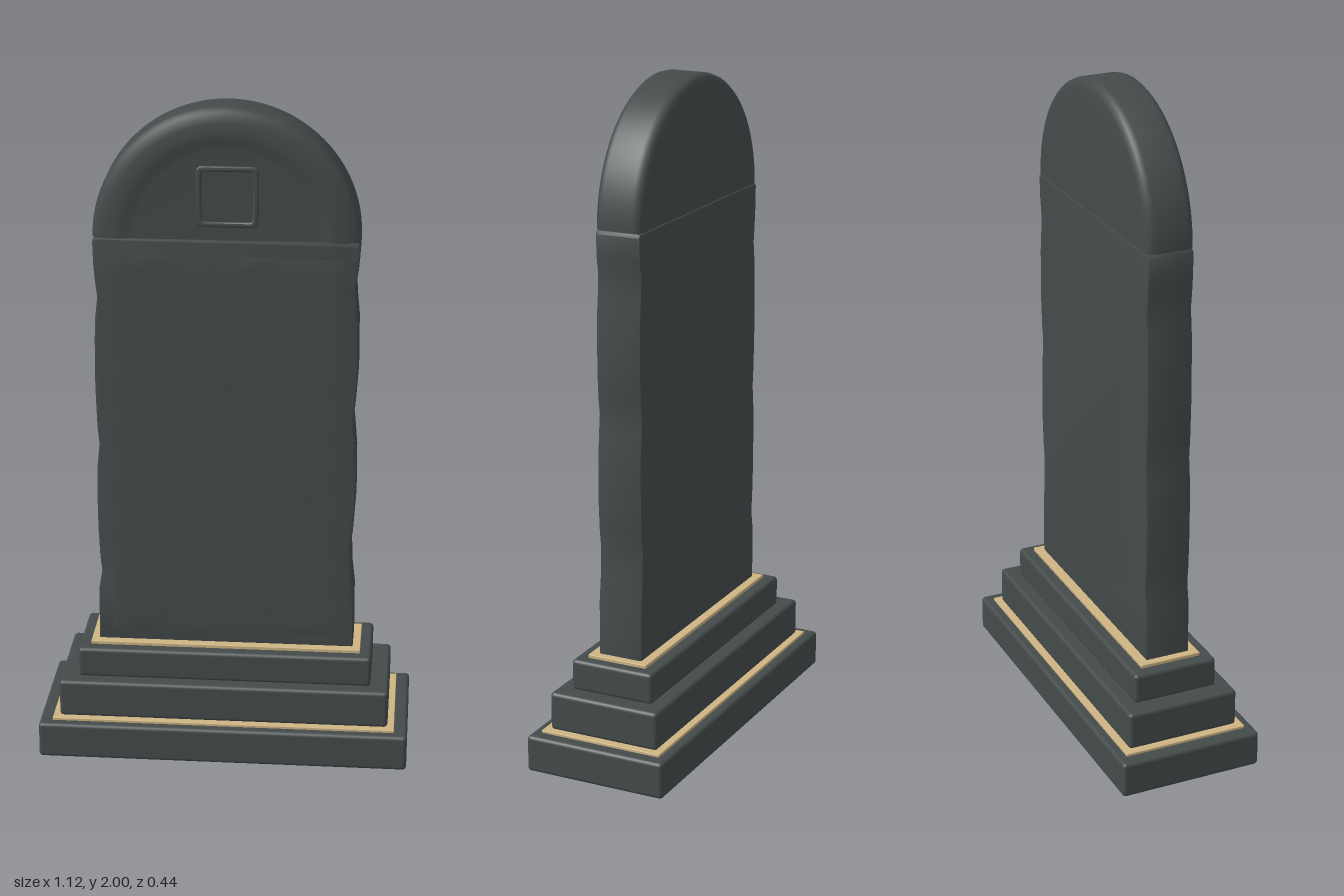
import * as THREE from 'three';
import { toCreasedNormals } from 'three/addons/utils/BufferGeometryUtils.js';
import { RoundedBoxGeometry } from 'three/addons/geometries/RoundedBoxGeometry.js';

export function createModel() {
  const model = new THREE.Group();
  model.name = 'memorialStone';
  const stone = new THREE.MeshStandardMaterial({ color: 0x444a4a });
  stone.name = 'dark stone';
  const gold = new THREE.MeshStandardMaterial({ color: 0xcdb483 });
  gold.name = 'pale gold';

  const add = (name, geometry, material = stone) => {
    const mesh = new THREE.Mesh(geometry, material);
    mesh.name = name;
    model.add(mesh);
    return mesh;
  };

  // Stepped plinth with gold inlay strips: half width, half depth, bottom, top
  const step = (name, hx, hz, y0, y1, material, radius = 0.012) => {
    const geometry = new RoundedBoxGeometry(hx * 2, y1 - y0, hz * 2, 3, radius);
    add(name, geometry, material).position.y = (y0 + y1) / 2;
  };
  step('lowerStep', 0.56, 0.222, 0, 0.112, stone);
  step('lowerTrim', 0.52, 0.193, 0.105, 0.12, gold, 0.002);
  step('middleStep', 0.5, 0.175, 0.118, 0.235, stone);
  step('upperStep', 0.445, 0.132, 0.232, 0.327, stone);
  step('upperTrim', 0.41, 0.095, 0.32, 0.337, gold, 0.002);

  // Slab outline with worn notches down both sides: [height, depth of wear]
  const rightWear = [[0.335, 0], [0.5, 0.001], [0.57, 0.009], [0.62, 0.011], [0.67, 0.013], [0.72, 0.006],
    [0.8, 0.001], [0.95, 0.002], [1.02, 0.008], [1.07, 0.013], [1.12, 0.006], [1.2, 0.001], [1.36, 0.002],
    [1.42, 0.008], [1.48, 0.012], [1.53, 0.004], [1.6, 0]];
  const leftWear = [[0.335, 0], [0.5, 0.001], [0.56, 0.011], [0.61, 0.006], [0.7, 0.002], [0.8, 0.001],
    [0.9, 0.003], [0.97, 0.01], [1.03, 0.005], [1.15, 0.001], [1.3, 0.002], [1.37, 0.005],
    [1.43, 0.012], [1.48, 0.006], [1.53, 0.002], [1.6, 0]];
  const halfWidth = 0.387;
  const outline = [
    ...rightWear.map(([y, d]) => new THREE.Vector2(halfWidth - d, y)),
    new THREE.Vector2(halfWidth - 0.006, 1.61),
    new THREE.Vector2(-halfWidth + 0.006, 1.61),
    ...leftWear.map(([y, d]) => new THREE.Vector2(-halfWidth + d, y)).reverse(),
  ];
  const slab = new THREE.ExtrudeGeometry(new THREE.Shape(outline), {
    depth: 0.128, bevelEnabled: true, bevelThickness: 0.006, bevelSize: 0.006, bevelOffset: -0.006, bevelSegments: 2,
  });
  slab.translate(0, 0, -0.064);
  add('slab', toCreasedNormals(slab, 0.7));

  // Gently uneven dressed face, sinking into the slab at its border
  const face = new THREE.PlaneGeometry(0.72, 1.23, 24, 40);
  const p = face.attributes.position;
  for (let i = 0; i < p.count; i++) {
    const x = p.getX(i), y = p.getY(i);
    const border = Math.abs(x) > 0.355 || Math.abs(y) > 0.61;
    const ripple = Math.sin(x * 31 + Math.sin(y * 17) * 2) * Math.sin(y * 23 + x * 9);
    p.setZ(i, border ? -0.003 : 0.002 + ripple * 0.001);
  }
  face.computeVertexNormals();
  add('dressedFace', face).position.set(0, 0.965, 0.07);

  // Round head: half-turned profile with rounded rim, raised band and sunken centre
  const profile = [[0, -0.072], [0.36, -0.072], [0.375, -0.069], [0.383, -0.06], [0.387, -0.045], [0.387, 0.05],
    [0.384, 0.062], [0.375, 0.07], [0.345, 0.076], [0.315, 0.079], [0.3, 0.078], [0.28, 0.072], [0.265, 0.071],
    [0, 0.071]].map(([r, z]) => new THREE.Vector2(r, z));
  const headY = 1.613;
  const head = new THREE.LatheGeometry(profile, 64, Math.PI / 2, Math.PI);
  head.rotateX(Math.PI / 2);
  add('archedHead', toCreasedNormals(head, 0.8)).position.y = headY;

  // Underside that closes the half-turned head
  const under = new THREE.Shape([...profile, ...profile.map((v) => new THREE.Vector2(-v.x, v.y)).reverse()]);
  const underside = new THREE.ShapeGeometry(under);
  underside.rotateX(Math.PI / 2);
  add('headUnderside', underside).position.y = headY;

  // Shallow square panel with a raised rim on the head
  const square = (Path, h, r) => {
    const s = new Path();
    s.moveTo(-h + r, -h).lineTo(h - r, -h).quadraticCurveTo(h, -h, h, -h + r);
    s.lineTo(h, h - r).quadraticCurveTo(h, h, h - r, h).lineTo(-h + r, h);
    s.quadraticCurveTo(-h, h, -h, h - r).lineTo(-h, -h + r).quadraticCurveTo(-h, -h, -h + r, -h);
    return s;
  };
  const rim = square(THREE.Shape, 0.09, 0.02);
  rim.holes.push(square(THREE.Path, 0.074, 0.012));
  const rimGeometry = new THREE.ExtrudeGeometry(rim, {
    depth: 0.002, bevelEnabled: true, bevelThickness: 0.003, bevelSize: 0.004, bevelOffset: -0.004, bevelSegments: 2,
  });
  add('panelRim', toCreasedNormals(rimGeometry, 1)).position.set(0.005, 1.742, 0.071);

  return model;
}
